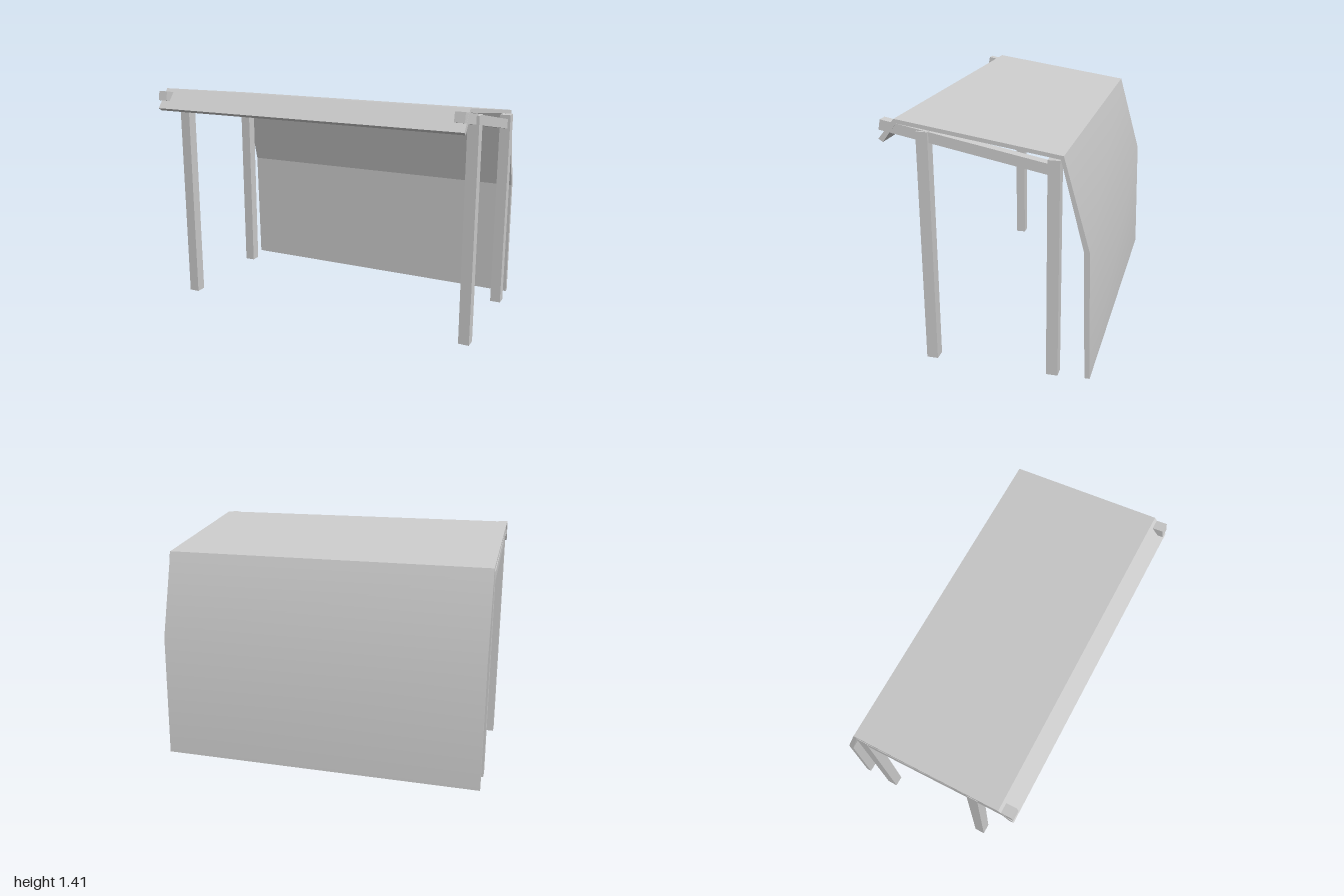
import * as THREE from 'three';

const material = new THREE.MeshStandardMaterial({ color: 0xcccccc });

// Extrudes a side outline of [z, y] points from x0 to x1.
function sidePanel(points, x0, x1) {
  const shape = new THREE.Shape(points.map(([z, y]) => new THREE.Vector2(z, y)));
  const geometry = new THREE.ExtrudeGeometry(shape, { depth: x1 - x0, bevelEnabled: false });
  return geometry.rotateY(-Math.PI / 2).translate(x1, 0, 0);
}

// Softens the outward-facing shading along one bend line of a side panel.
function softenBend(geometry, [z, y]) {
  const { position, normal } = geometry.attributes;
  const hits = [];
  const sum = new THREE.Vector3();
  for (let i = 0; i < position.count; i++) {
    const atBend = Math.hypot(position.getZ(i) - z, position.getY(i) - y) < 1e-4;
    if (!atBend || Math.abs(normal.getX(i)) > 0.5) continue;
    hits.push(i);
    sum.add(new THREE.Vector3().fromBufferAttribute(normal, i));
  }
  sum.normalize();
  hits.forEach((i) => normal.setXYZ(i, sum.x, sum.y, sum.z));
  return geometry;
}

export function createModel() {
  const group = new THREE.Group();
  const add = (name, geometry) => {
    const mesh = new THREE.Mesh(geometry, material);
    mesh.name = name;
    group.add(mesh);
  };

  // Folded cover: front lip, sloping roof and bent back wall
  const bend = [-0.57, 0.765];
  const cover = [
    [0.589, 1.3], [0.495, 1.415], [-0.424, 1.282], bend, [-0.589, 0],
    [-0.559, 0], [-0.54, 0.762], [-0.409, 1.262], [0.484, 1.391], [0.564, 1.283],
  ];
  add('cover', softenBend(sidePanel(cover, -0.998, 0.985), bend));

  // Sloping side beams under the roof, running through the lip
  const beam = [[0.574, 1.407], [0.585, 1.35], [-0.39, 1.166], [-0.39, 1.226]];
  add('leftBeam', sidePanel(beam, 0.925, 0.984));
  add('rightBeam', sidePanel(beam, -0.997, -0.938));

  // Four square posts, taller at the front
  const size = 0.066;
  for (const [side, x] of [['Left', 1 - size / 2], ['Right', size / 2 - 1]]) {
    for (const [end, z, height] of [['front', 0.336, 1.359], ['back', -0.376, 1.26]]) {
      const post = new THREE.BoxGeometry(size, height, size);
      add(`${end}${side}Post`, post.translate(x, height / 2, z));
    }
  }
  return group;
}
